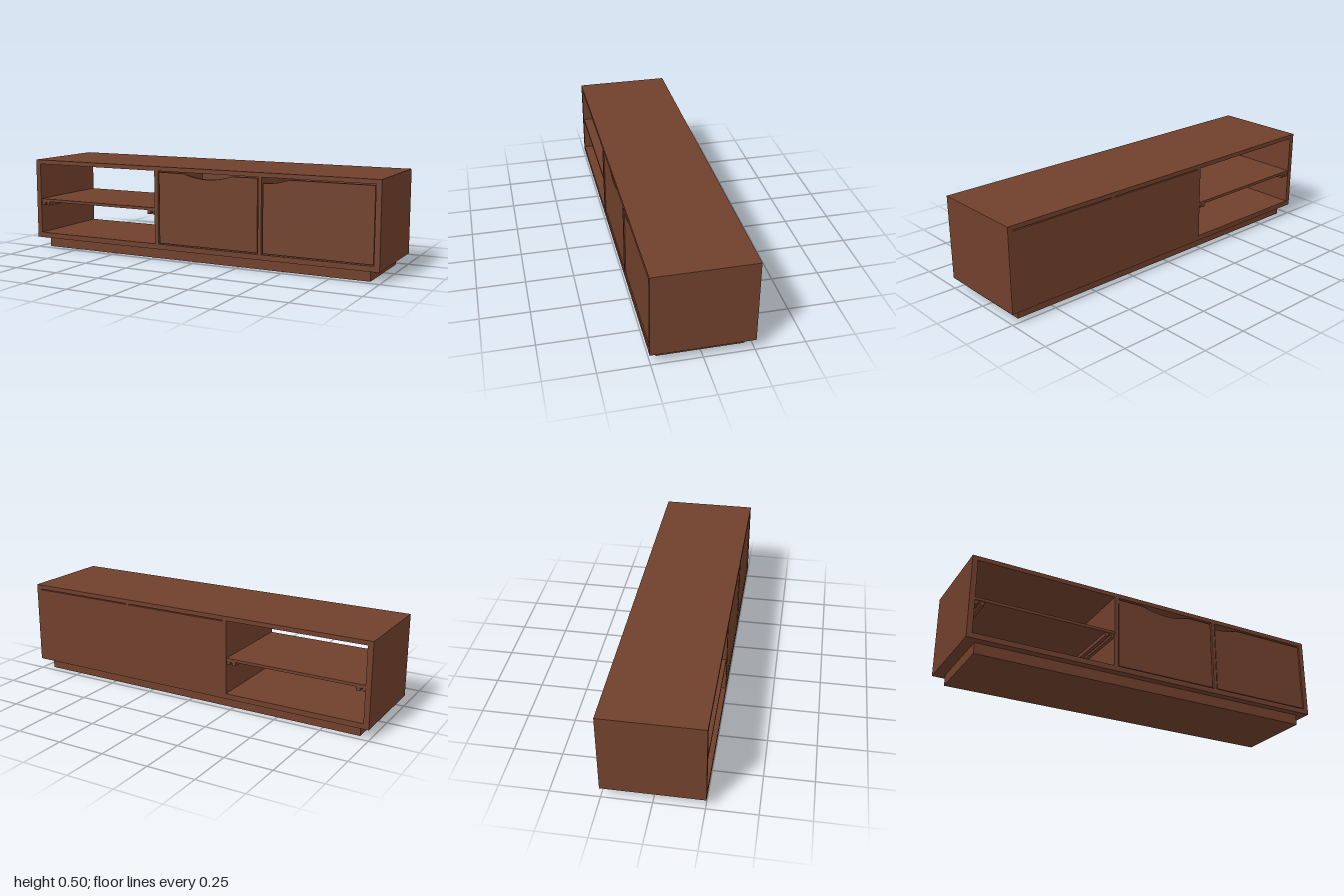
import * as THREE from 'three';

export function createModel() {
  const group = new THREE.Group();
  group.name = 'mediaConsole';
  const wood = new THREE.MeshStandardMaterial({ color: 0x70402c });
  wood.name = 'walnut brown';

  // Box given by its extents on each axis
  const slab = (name, x0, x1, y0, y1, z0, z1) => {
    const mesh = new THREE.Mesh(new THREE.BoxGeometry(x1 - x0, y1 - y0, z1 - z0), wood);
    mesh.name = name;
    mesh.position.set((x0 + x1) / 2, (y0 + y1) / 2, (z0 + z1) / 2);
    group.add(mesh);
  };

  const D = 0.254, BOTTOM = 0.057, TOP = 0.497, FLOOR = 0.085, CEIL = 0.474;

  // Carcass on a recessed plinth
  slab('plinth', -0.945, 0.945, 0, BOTTOM, -0.214, 0.214);
  slab('bottomPanel', -1, 1, BOTTOM, FLOOR, -D, D);
  slab('topPanel', -1, 1, CEIL, TOP, -D, D);
  slab('rightSide', -1, -0.972, FLOOR, CEIL, -D, D);
  slab('leftSide', 0.972, 1, FLOOR, CEIL, -D, D);
  slab('shelfDivider', -0.226, -0.204, FLOOR, CEIL, -D, D);
  slab('doorDivider', 0.372, 0.39, FLOOR, CEIL, -D, D);
  slab('backPanel', -0.204, 0.972, FLOOR, 0.469, -D, -D + 0.016);

  // Open shelf resting on two grooved rails
  slab('shelf', -0.972, -0.226, 0.262, 0.277, -0.25, 0.25);
  for (const [wall, dir] of [[-0.972, 1], [-0.226, -1]]) {
    const rail = (name, a, b, y0, y1) => {
      const p = wall + dir * a, q = wall + dir * b;
      slab(name, Math.min(p, q), Math.max(p, q), y0, y1, -0.245, 0.245);
    };
    rail('railPlate', 0, 0.05, 0.255, 0.262);
    rail('railInnerLip', 0, 0.018, 0.241, 0.255);
    rail('railOuterLip', 0.03, 0.05, 0.241, 0.255);
  }

  // Doors with a shallow curved finger cutout in the top edge
  const door = (name, x0, x1, cx, half, depth) => {
    const y0 = 0.09, y1 = 0.467, steps = 24;
    const shape = new THREE.Shape();
    shape.moveTo(x0, y0);
    shape.lineTo(x1, y0);
    shape.lineTo(x1, y1);
    const start = Math.max(cx - half, x0);
    for (let i = 0; i <= steps; i++) {
      const x = cx + half + (start - cx - half) * i / steps;
      const t = (x - cx) / half;
      shape.lineTo(x, y1 - depth * (1 - t * t));
    }
    if (start > x0) shape.lineTo(x0, y1);
    shape.closePath();
    const geo = new THREE.ExtrudeGeometry(shape, { depth: 0.018, bevelEnabled: false });
    const mesh = new THREE.Mesh(geo, wood);
    mesh.name = name;
    mesh.position.z = 0.231;
    group.add(mesh);
  };
  door('middleDoor', -0.199, 0.366, 0.083, 0.14, 0.024);
  door('leftDoor', 0.396, 0.968, 0.396, 0.14, 0.024);

  return group;
}
